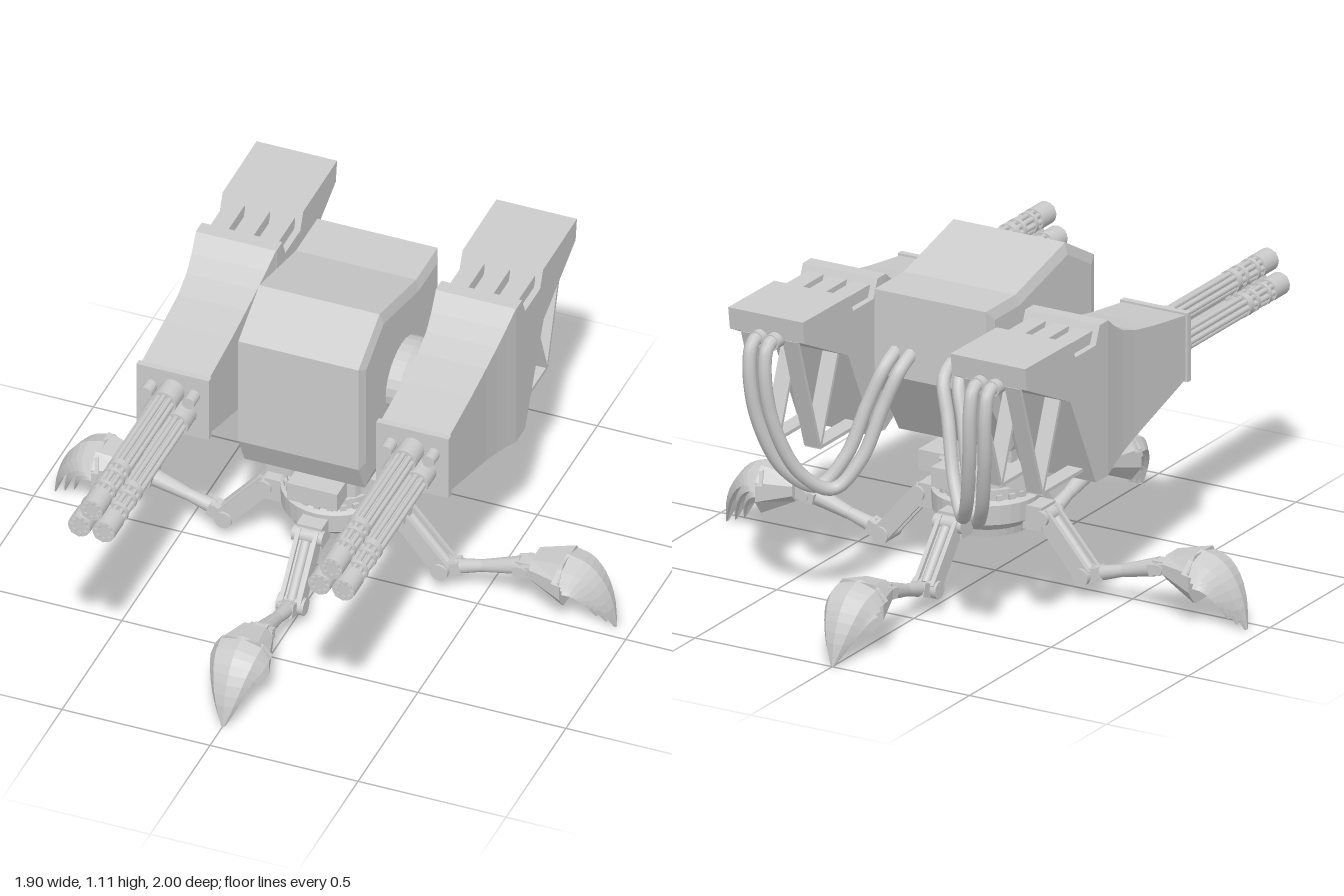
import * as THREE from 'three';

const V = (x, y, z) => new THREE.Vector3(x, y, z);
const flat = new THREE.MeshStandardMaterial({ color: 0xcccccc, flatShading: true });
const smooth = new THREE.MeshStandardMaterial({ color: 0xcccccc });
const thin = new THREE.MeshStandardMaterial({ color: 0xcccccc, flatShading: true, side: THREE.DoubleSide });

function add(parent, name, geo, x = 0, y = 0, z = 0, mat = flat) {
  const m = new THREE.Mesh(geo, mat);
  m.name = name;
  m.position.set(x, y, z);
  parent.add(m);
  return m;
}
const box = (p, name, w, h, d, x, y, z) => add(p, name, new THREE.BoxGeometry(w, h, d), x, y, z);

// Places a y-aligned geometry between two points
function span(p, name, a, b, makeGeo, mat = flat) {
  const dir = b.clone().sub(a);
  const mid = a.clone().add(b).multiplyScalar(0.5);
  const m = add(p, name, makeGeo(dir.length()), mid.x, mid.y, mid.z, mat);
  m.quaternion.setFromUnitVectors(V(0, 1, 0), dir.normalize());
  return m;
}
const rod = (p, name, a, b, r1, r2 = r1, n = 16) =>
  span(p, name, a, b, (l) => new THREE.CylinderGeometry(r2, r1, l, n), smooth);
const beam = (p, name, a, b, sx, sz) => span(p, name, a, b, (l) => new THREE.BoxGeometry(sx, l, sz));

// Skins a row of equal-sized rings and closes both ends
function loft(rings) {
  const pos = [];
  const tri = (...pts) => pts.forEach((q) => pos.push(q.x, q.y, q.z));
  const n = rings[0].length;
  for (let i = 0; i < rings.length - 1; i++) {
    for (let j = 0; j < n; j++) {
      const k = (j + 1) % n, A = rings[i], B = rings[i + 1];
      tri(A[j], A[k], B[k]);
      tri(A[j], B[k], B[j]);
    }
  }
  const first = rings[0], last = rings[rings.length - 1];
  for (let j = 1; j < n - 1; j++) {
    tri(first[0], first[j + 1], first[j]);
    tri(last[0], last[j], last[j + 1]);
  }
  const g = new THREE.BufferGeometry();
  g.setAttribute('position', new THREE.Float32BufferAttribute(pos, 3));
  g.computeVertexNormals();
  return g;
}

// Extrudes a (z, y) side profile across x
function sideExtrude(points, width, bevel = 0, inset = 0) {
  const shape = new THREE.Shape(points.map(([z, y]) => new THREE.Vector2(z, y)));
  const depth = width - 2 * bevel;
  const g = new THREE.ExtrudeGeometry(shape, {
    depth, bevelEnabled: bevel > 0, bevelThickness: bevel, bevelSize: inset, bevelOffset: -inset, bevelSegments: 1,
  });
  return g.translate(0, 0, -depth / 2).rotateY(-Math.PI / 2);
}

// Curved claw plate; scale shrinks it toward its root to nest the layers
function clawGeometry(scale) {
  const ridge = [[0.78, 0.237], [0.85, 0.217], [0.9, 0.168], [0.935, 0.09], [0.95, 0]]
    .map(([x, y]) => V(0.785 + (x - 0.785) * scale, 0.06 + (y - 0.06) * scale, 0));
  const curve = new THREE.CatmullRomCurve3(ridge);
  const rings = [];
  for (let i = 0; i <= 10; i++) {
    const t = i / 10, c = curve.getPoint(t), tan = curve.getTangent(t);
    const w = 0.095 * Math.sqrt(scale) * (1 - 0.93 * t ** 2.2);
    const d = 0.06 * scale * (1 - 0.88 * t ** 1.5);
    rings.push([[1, -1], [0.72, -0.3], [0, 0], [-0.72, -0.3], [-1, -1], [0, -0.65]].map(([s, n]) =>
      V(c.x - tan.y * n * d, c.y + tan.x * n * d, -s * w)));
  }
  return loft(rings);
}

// One leg, reaching out along +x
function makeLeg(i) {
  const leg = new THREE.Group();
  leg.name = 'leg' + (i + 1);
  leg.rotation.y = i * Math.PI / 2;
  const hip = V(0.215, 0.255, 0), knee = V(0.37, 0.075, 0);
  box(leg, 'hipBracket', 0.07, 0.08, 0.085, 0.19, 0.24, 0);
  rod(leg, 'hipPin', V(0.225, 0.245, -0.052), V(0.225, 0.245, 0.052), 0.025);
  // Channel-shaped thigh with a piston inside
  beam(leg, 'thighCore', hip, knee, 0.03, 0.05);
  for (const s of [-1, 1]) beam(leg, 'thighRail', hip.clone().setZ(s * 0.03), knee.clone().setZ(s * 0.03), 0.058, 0.014);
  rod(leg, 'thighPiston', V(0.25, 0.24, 0), V(0.375, 0.095, 0), 0.015);
  rod(leg, 'kneePin', V(0.365, 0.075, -0.046), V(0.365, 0.075, 0.046), 0.029);
  beam(leg, 'kneeBlock', V(0.355, 0.065, 0), V(0.425, 0.09, 0), 0.045, 0.05);
  rod(leg, 'shin', V(0.41, 0.085, 0), V(0.53, 0.12, 0), 0.025, 0.018);
  rod(leg, 'shinSleeve', V(0.5, 0.111, 0), V(0.63, 0.15, 0), 0.021, 0.031, 10);
  // Ankle fork
  for (const s of [-1, 1]) beam(leg, 'ankleFork', V(0.61, 0.145, s * 0.033), V(0.7, 0.165, s * 0.033), 0.035, 0.016);
  rod(leg, 'anklePin', V(0.645, 0.153, -0.046), V(0.645, 0.153, 0.046), 0.018);
  box(leg, 'ankleBlock', 0.09, 0.035, 0.045, 0.66, 0.157, 0);
  // Flaring foot block
  const foot = [[0.675, 0.168, 0.04, 0.06], [0.79, 0.153, 0.08, 0.093]].map(([x, y, h, w]) =>
    [[1, -0.4], [1, 0.4], [0.6, 1], [-0.6, 1], [-1, 0.4], [-1, -0.4], [-0.6, -1], [0.6, -1]]
      .map(([s, n]) => V(x, y + n * h, -s * w)));
  add(leg, 'footBlock', loft(foot));
  [1, 0.8, 0.6].forEach((s) => add(leg, 'claw', clawGeometry(s), 0, 0, 0, thin));
  return leg;
}

// Rotary gun: ring of fine barrels with collars
function makeGun(x, y) {
  const gun = new THREE.Group();
  gun.name = 'gun';
  gun.position.set(x, y, 0);
  const along = (name, z0, z1, r, px = 0, py = 0, n = 16) => rod(gun, name, V(px, py, z0), V(px, py, z1), r, r, n);
  along('gunBase', 0.3, 0.385, 0.041);
  along('gunCore', 0.38, 0.985, 0.024);
  for (let i = 0; i < 8; i++) {
    const a = i * Math.PI / 4;
    along('barrel', 0.38, 0.995, 0.009, 0.027 * Math.cos(a), 0.027 * Math.sin(a), 8);
  }
  for (const [z0, z1] of [[0.75, 0.775], [0.8, 0.815], [0.87, 0.885], [0.91, 0.99]]) along('barrelCollar', z0, z1, 0.038);
  return gun;
}

// Weapon pod with guns, frame and cables
function makePod(side) {
  const pod = new THREE.Group();
  pod.name = side > 0 ? 'leftWeaponPod' : 'rightWeaponPod';
  pod.position.x = side * 0.405;
  const sections = [[-0.22, 0.49, 1.01, 0.135], [-0.16, 0.508, 0.968, 0.126], [-0.1, 0.526, 0.935, 0.119],
    [-0.02, 0.55, 0.908, 0.115], [0.1, 0.586, 0.885, 0.115], [0.295, 0.645, 0.857, 0.115]];
  add(pod, 'podFront', loft(sections.map(([z, b, t, w]) => [V(w, b, z), V(w, t, z), V(-w, t, z), V(-w, b, z)])));
  add(pod, 'podRear', sideExtrude([[-0.22, 1.01], [-0.27, 1.01], [-0.295, 0.95], [-0.42, 0.95], [-0.445, 1.007],
    [-0.728, 1.01], [-0.717, 0.935], [-0.45, 0.81], [-0.295, 0.492], [-0.22, 0.49]], 0.272));
  for (let i = -1; i <= 1; i++) box(pod, 'notchBlock', 0.06, 0.04, 0.15, i * 0.085, 0.97, -0.355);
  box(pod, 'gunPlate', 0.245, 0.23, 0.022, 0, 0.75, 0.3);
  for (const [x, y] of [[0, 0.797], [-0.041, 0.724], [0.041, 0.724]]) pod.add(makeGun(x, y));
  for (const x of [-0.072, 0.072]) rod(pod, 'plateBolt', V(x, 0.797, 0.3), V(x, 0.797, 0.36), 0.021);
  // Twin triangular frames under the rear
  for (const x of [-0.075, 0.075]) {
    beam(pod, 'frameStrut', V(x, 0.82, -0.45), V(x, 0.535, -0.56), 0.055, 0.012);
    beam(pod, 'frameStrut', V(x, 0.93, -0.7), V(x, 0.535, -0.565), 0.055, 0.012);
    beam(pod, 'frameStrut', V(x, 0.533, -0.3), V(x, 0.533, -0.565), 0.055, 0.012);
  }
  // Hanging cables back to the body
  for (const o of [0, 1]) {
    const path = [[0.43, 0.93, -0.7], [0.43, 0.925, -0.765], [0.43, 0.86, -0.785], [0.415, 0.68, -0.765],
      [0.36, 0.49, -0.69], [0.29, 0.42, -0.6], [0.225, 0.51, -0.54], [0.175, 0.68, -0.49], [0.135, 0.8, -0.45], [0.13, 0.84, -0.38]]
      .map(([x, y, z]) => V(side * (x - o * 0.056 - 0.405), y, z));
    add(pod, 'cable', new THREE.TubeGeometry(new THREE.CatmullRomCurve3(path), 60, 0.022, 10), 0, 0, 0, smooth);
    rod(pod, 'cablePlug', V(path[0].x, 0.93, -0.69), V(path[0].x, 0.928, -0.745), 0.027);
  }
  return pod;
}

export function createModel() {
  const model = new THREE.Group();
  model.name = 'walkingTurret';

  // Armoured body
  add(model, 'body', sideExtrude([[0.262, 1.01], [0.085, 1.107], [-0.22, 1.03], [-0.4, 1.03], [-0.4, 0.75],
    [-0.25, 0.515], [0.21, 0.515], [0.262, 0.62]], 0.43, 0.012, 0.035));
  for (const s of [-1, 1]) {
    const hub = new THREE.LatheGeometry([[0, 0], [0.136, 0], [0.136, 0.055], [0.115, 0.08], [0, 0.09]]
      .map(([r, y]) => new THREE.Vector2(r, y)), 24);
    const m = add(model, 'podMount', hub, s * 0.205, 0.775, -0.072);
    m.rotation.z = -s * Math.PI / 2;
    m.scale.x = 0.84;
    model.add(makePod(s));
  }

  // Turntable and legs
  const base = new THREE.Group();
  base.name = 'base';
  base.position.z = -0.053;
  model.add(base);
  const drum = [[0, 0.18], [0.14, 0.18], [0.145, 0.205], [0.172, 0.23], [0.175, 0.295], [0.155, 0.305], [0.155, 0.34], [0, 0.34]];
  add(base, 'turntable', new THREE.LatheGeometry(drum.map(([r, y]) => new THREE.Vector2(r, y)), 32));
  for (let i = 0; i < 24; i++) {
    const a = i * Math.PI / 12;
    box(base, 'ringTooth', 0.02, 0.018, 0.02, 0.155 * Math.cos(a), 0.315, 0.155 * Math.sin(a)).rotation.y = -a;
  }
  box(base, 'crossPlate', 0.4, 0.065, 0.17, 0, 0.377, 0);
  box(base, 'crossPlate', 0.17, 0.065, 0.4, 0, 0.377, 0);
  add(base, 'platePad', new THREE.CylinderGeometry(0.155, 0.155, 0.06, 8), 0, 0.375, 0);
  add(base, 'neck', new THREE.CylinderGeometry(0.085, 0.12, 0.09, 8), 0, 0.45, 0);
  add(base, 'neckTop', new THREE.CylinderGeometry(0.1, 0.085, 0.03, 8), 0, 0.505, 0);
  for (let i = 0; i < 4; i++) {
    const a = i * Math.PI / 2;
    box(base, 'neckRib', 0.04, 0.1, 0.085, 0.095 * Math.cos(a), 0.445, 0.095 * Math.sin(a)).rotation.y = -a;
    base.add(makeLeg(i));
  }
  return model;
}
